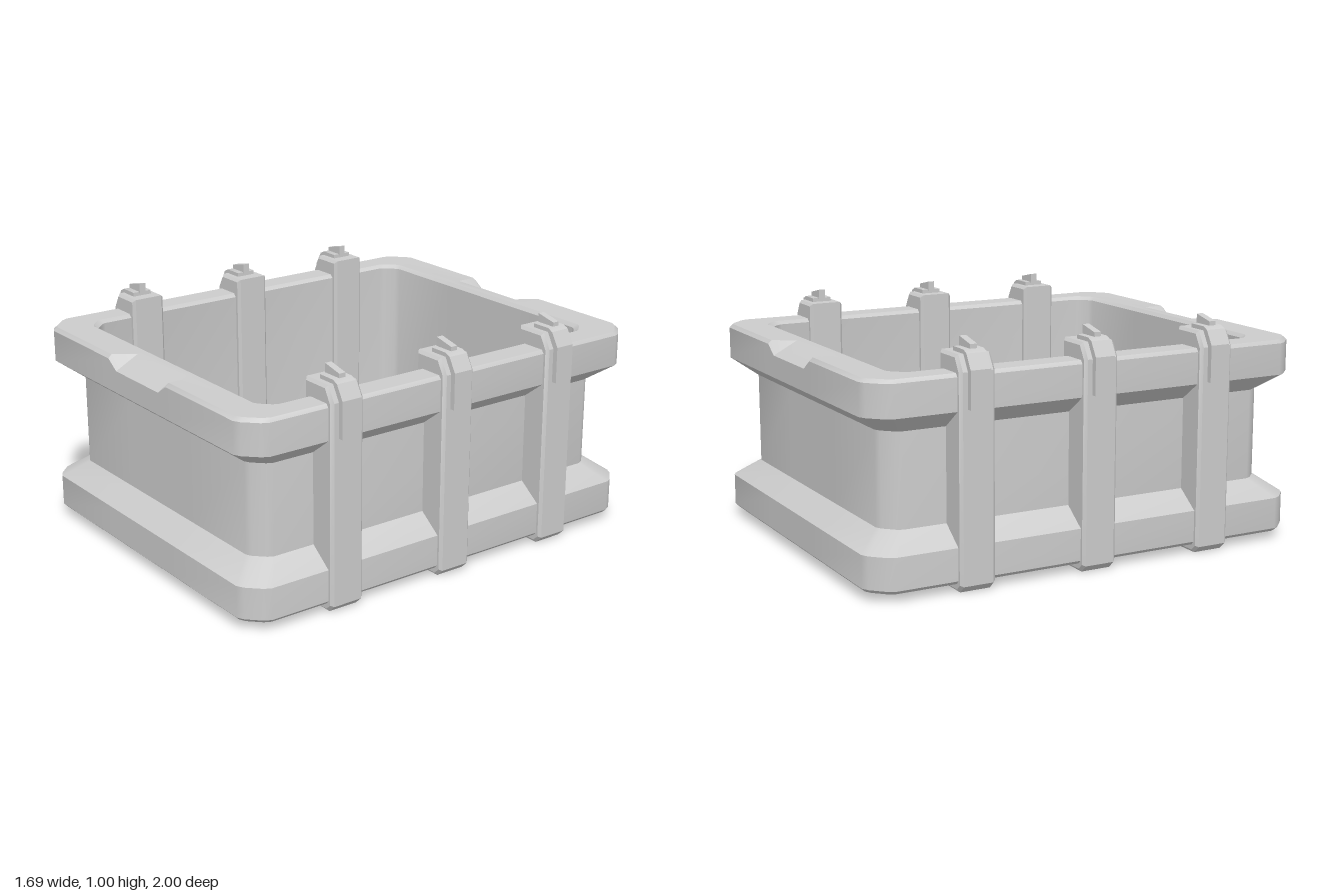
import * as THREE from 'three';
import { toCreasedNormals } from 'three/addons/utils/BufferGeometryUtils.js';

const material = new THREE.MeshStandardMaterial({ color: 0xcccccc });

function part(name, geometry, crease = 0.5) {
  const mesh = new THREE.Mesh(toCreasedNormals(geometry, crease), material);
  mesh.name = name;
  return mesh;
}

// Ring: [half width, half depth, corner cut, height, height in the lip notch]
function ringPoints([w, d, c, y, notchY = y]) {
  const corner = [[w, d - c], [w - 0.15 * c, d - 0.7 * c], [w - 0.7 * c, d - 0.15 * c], [w - c, d]];
  const half = [
    ...corner.map(([x, z]) => [x, y, z]),
    [0.225, y, d], [0.165, notchY, d], [-0.165, notchY, d], [-0.225, y, d],
    ...corner.reverse().map(([x, z]) => [-x, y, z]),
  ];
  return [...half, ...half.map(([x, py, z]) => [-x, py, -z])];
}

// Joins the rings from the underside, up the outside, over the rim and down to the floor
function ringShell(rings) {
  const positions = [], index = [];
  const loops = rings.map(ringPoints);
  const n = loops[0].length;
  loops.forEach((loop) => loop.forEach((p) => positions.push(...p)));
  for (let r = 0; r < rings.length - 1; r++) {
    for (let j = 0; j < n; j++) {
      const a = r * n + j, b = r * n + (j + 1) % n;
      index.push(b, a, a + n, b, a + n, b + n);
    }
  }
  const last = rings.length - 1;
  const under = loops.length * n, floor = under + 1;
  positions.push(0, rings[0][3], 0, 0, rings[last][3], 0);
  for (let j = 0; j < n; j++) {
    const k = (j + 1) % n;
    index.push(under, j, k, floor, last * n + k, last * n + j);
  }
  const geometry = new THREE.BufferGeometry();
  geometry.setAttribute('position', new THREE.Float32BufferAttribute(positions, 3));
  geometry.setIndex(index);
  return geometry;
}

// Extrudes an x-y outline along z, centred, with a small edge bevel
function slab(points, depth, bevel) {
  const shape = new THREE.Shape(points.map(([x, y]) => new THREE.Vector2(x, y)));
  const geometry = new THREE.ExtrudeGeometry(shape, {
    depth: depth - 2 * bevel, bevelEnabled: bevel > 0, bevelThickness: bevel,
    bevelSize: bevel, bevelOffset: -bevel, bevelSegments: 1,
  });
  return geometry.translate(0, 0, -depth / 2 + bevel);
}

export function createModel() {
  const model = new THREE.Group();
  model.name = 'crate';

  // Open box with thick lower and upper bands and a recessed waist
  model.add(part('crateBody', ringShell([
    [0.785, 0.985, 0.09, 0.035],
    [0.80, 1.0, 0.1, 0.05],
    [0.80, 1.0, 0.1, 0.185],
    [0.70, 0.90, 0.08, 0.26],
    [0.70, 0.90, 0.08, 0.65],
    [0.80, 1.0, 0.1, 0.725],
    [0.80, 1.0, 0.1, 0.86, 0.82],
    [0.788, 0.985, 0.095, 0.875, 0.828],
    [0.715, 0.895, 0.08, 0.875],
    [0.685, 0.85, 0.07, 0.875],
    [0.67, 0.835, 0.07, 0.86],
    [0.67, 0.835, 0.07, 0.13],
    [0.62, 0.775, 0.06, 0.08],
  ])));

  // Strap outline: under the crate, over both rims and across the floor
  const side = [
    [0.79, 0], [0.822, 0.03], [0.822, 0.88], [0.785, 0.945],
    [0.645, 0.945], [0.645, 0.15], [0.6, 0.1],
  ];
  const mirror = side.map(([x, y]) => [-x, y]).reverse();
  const strapGeometry = slab([...side, ...mirror], 0.155, 0.012);

  // Buckle folded over the top outer corner of the strap
  const buckleOutline = [
    [0.81, 0.735], [0.845, 0.735], [0.845, 0.89], [0.81, 0.95], [0.785, 0.962],
    [0.70, 0.962], [0.70, 0.93], [0.77, 0.93], [0.81, 0.86],
  ];
  const tabOutline = [[0.695, 0.955], [0.785, 0.955], [0.785, 0.98], [0.695, 1.0]];
  const buckleGeometry = slab(buckleOutline, 0.088, 0);
  const tabGeometry = slab(tabOutline, 0.03, 0);

  for (const z of [-0.555, 0, 0.555]) {
    const strap = new THREE.Group();
    strap.name = 'strapAssembly';
    strap.position.z = z;
    strap.add(part('strap', strapGeometry));
    for (const turn of [0, Math.PI]) {
      const clip = new THREE.Group();
      clip.name = turn ? 'rightClip' : 'leftClip';
      clip.rotation.y = turn;
      clip.add(part('buckle', buckleGeometry), part('buckleTab', tabGeometry));
      strap.add(clip);
    }
    model.add(strap);
  }
  return model;
}
